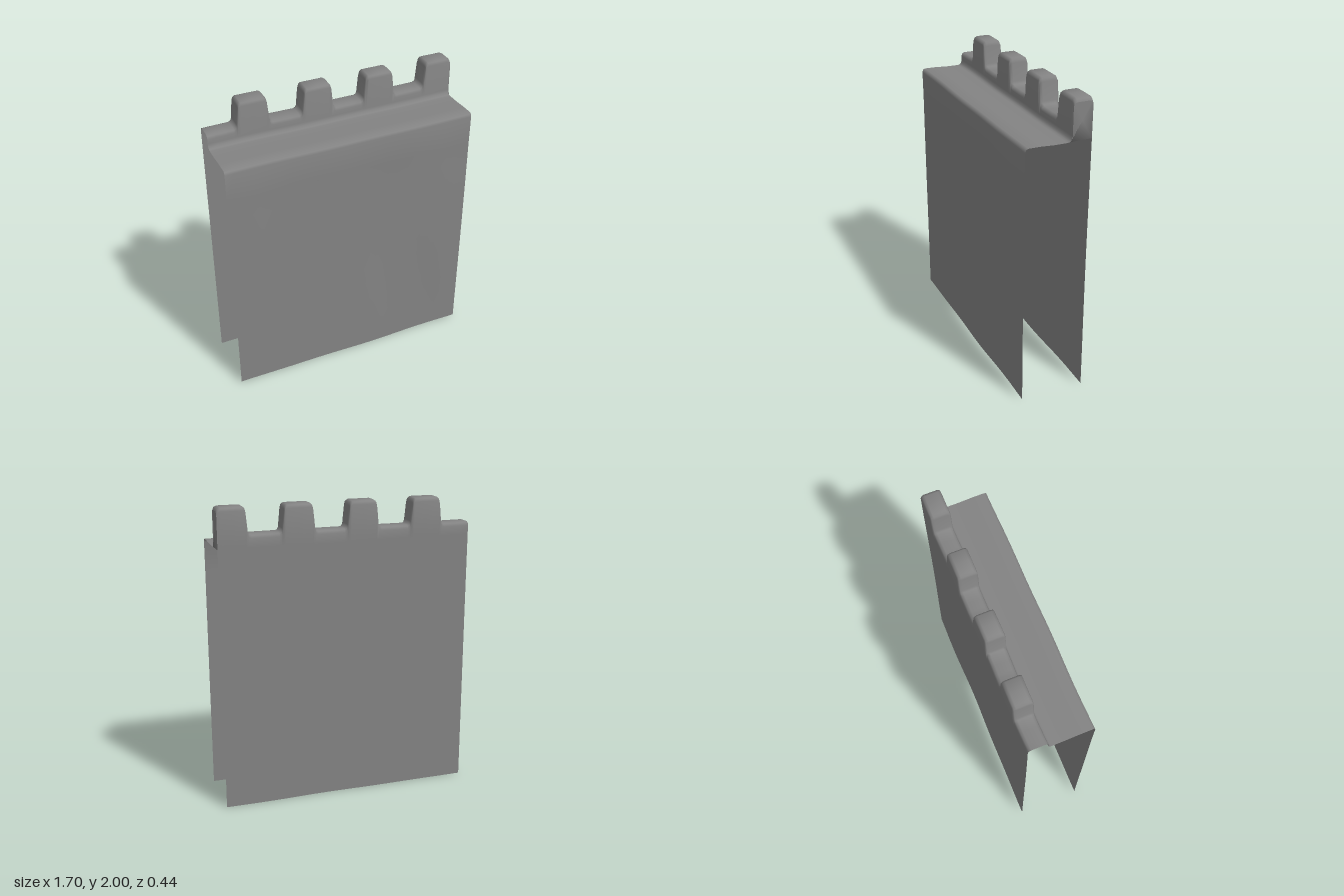
import * as THREE from 'three';
import { toCreasedNormals } from 'three/addons/utils/BufferGeometryUtils.js';

const HALF = 0.85, LOW = 1.825, HIGH = 2.0, WALK = 1.74;

// Outline of the parapet top as [x, height], with flared feet and rounded corners on each merlon
function topOutline() {
  const pts = [[-HALF, LOW]];
  const rise = [[-0.022, LOW], [-0.008, 1.832], [0, 1.85], [0.012, 1.97], [0.017, 1.99], [0.03, HIGH]];
  for (const [a, b] of [[-0.65, -0.437], [-0.212, -0.003], [0.218, 0.43], [0.655, null]]) {
    rise.forEach(([d, h]) => pts.push([a + d, h]));
    if (b !== null) [...rise].reverse().forEach(([d, h]) => pts.push([b - d, h]));
  }
  pts.push([0.825, HIGH], [0.843, 1.992], [HALF, 1.975]);
  // extra columns along the long spans
  const out = [pts[0]];
  for (let i = 1; i < pts.length; i++) {
    const [p, q] = [pts[i - 1], pts[i]];
    const n = Math.ceil((q[0] - p[0]) / 0.08);
    for (let k = 1; k <= n; k++) out.push([p[0] + (q[0] - p[0]) * k / n, p[1] + (q[1] - p[1]) * k / n]);
  }
  return out;
}

// Cross-section [y, z] at parapet height h: up the front, over the walkway and parapet, down the back
const ROWS = 12, WALL_TOP = 1.52;
function section(h) {
  const pts = [];
  for (let j = 0; j < ROWS; j++) pts.push([WALL_TOP * j / (ROWS - 1), 0.217]);
  pts.push([1.715, 0.22], [1.733, 0.215], [WALK, 0.2], [WALK, 0.12], [1.735, 0.03], [1.735, -0.05]);
  const capStart = pts.length;
  pts.push([1.737, -0.068], [1.75, -0.08], [1.77, -0.084], [h - 0.025, -0.084], [h - 0.007, -0.09], [h, -0.105],
    [h, -0.19], [h - 0.007, -0.205], [h - 0.025, -0.212], [WALK, -0.212]);
  const capEnd = pts.length;
  for (let j = ROWS - 1; j >= 0; j--) pts.push([WALL_TOP * j / (ROWS - 1), -0.212]);
  return { pts, capStart, capEnd };
}

// Slight unevenness of the surface
const wave = (x, y) => 0.003 * Math.sin(5 * x + 1.2) * Math.cos(3 * y) + 0.002 * Math.sin(9 * x + 2 * y);

export function createModel() {
  const group = new THREE.Group();
  group.name = 'battlementWall';

  // Open shell: front wall, walkway, parapet with merlons and back wall
  const columns = topOutline(), pos = [], idx = [];
  const { pts, capStart, capEnd } = section(LOW);
  const count = pts.length;
  columns.forEach(([x, h], i) => {
    section(h).pts.forEach(([y, z], j) => {
      pos.push(x, y, z + wave(x, y));
      if (i > 0 && j > 0) {
        const a = (i - 1) * count + j - 1, b = i * count + j - 1;
        idx.push(a, b, b + 1, a, b + 1, a + 1);
      }
    });
  });

  // Closed end of the last merlon, a fan joined to the last column
  const centre = pos.length / 3, last = (columns.length - 1) * count;
  pos.push(HALF, 1.86, -0.148);
  for (let j = capStart; j < capEnd; j++) {
    const next = j + 1 < capEnd ? j + 1 : capStart;
    idx.push(centre, last + next, last + j);
  }
  // the fan runs clockwise seen from +x, so turn it outward
  for (let k = idx.length - 3 * (capEnd - capStart); k < idx.length; k += 3) {
    [idx[k + 1], idx[k + 2]] = [idx[k + 2], idx[k + 1]];
  }

  const geo = new THREE.BufferGeometry();
  geo.setAttribute('position', new THREE.Float32BufferAttribute(pos, 3));
  geo.setIndex(idx);
  const wall = new THREE.Mesh(
    toCreasedNormals(geo, 1.7),
    new THREE.MeshStandardMaterial({ color: 0x838383, side: THREE.DoubleSide }),
  );
  wall.name = 'wallShell';
  group.add(wall);
  return group;
}
